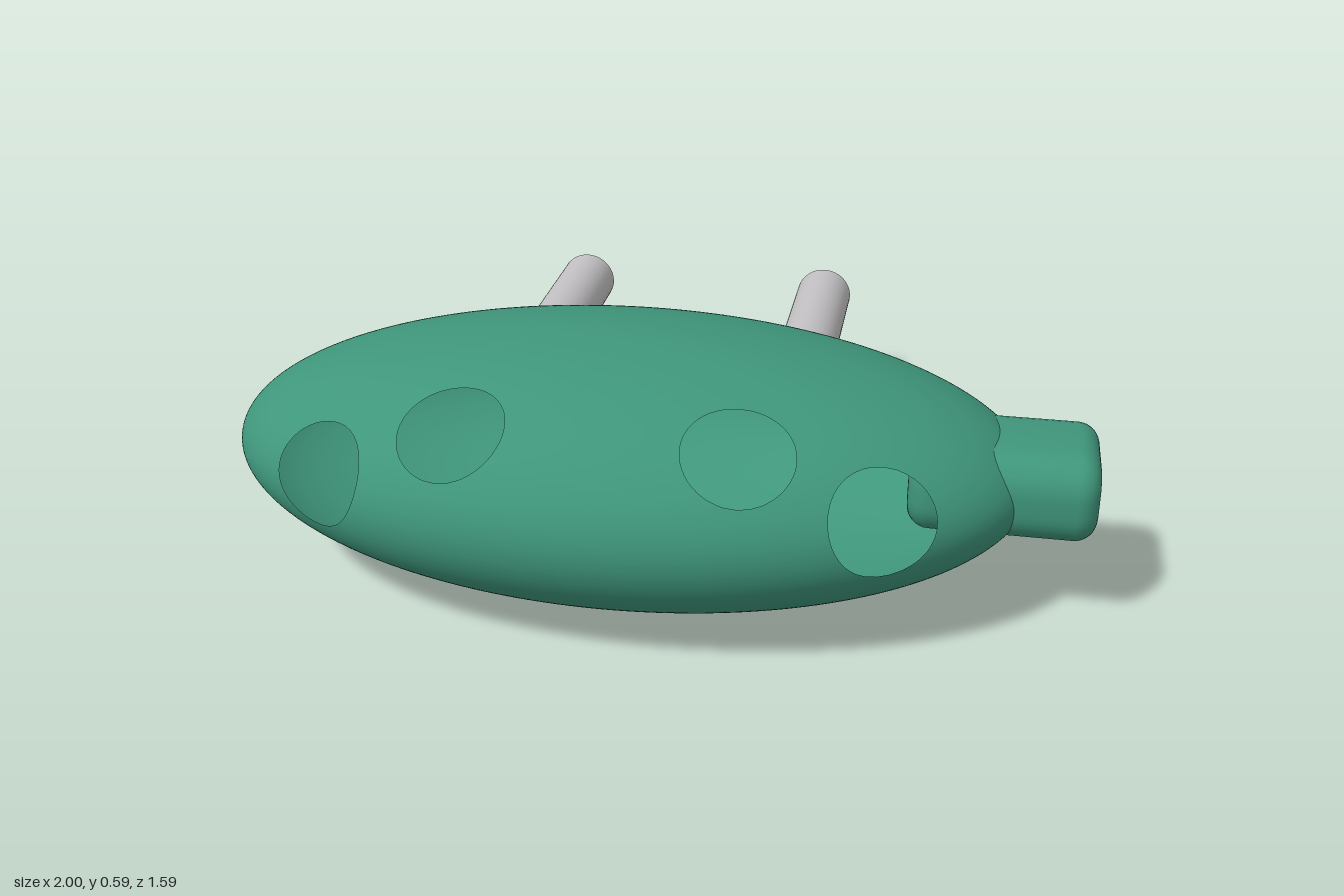
import * as THREE from 'three';
import { toCreasedNormals } from 'three/addons/utils/BufferGeometryUtils.js';

const CENTER = new THREE.Vector3(-0.07, 0.295, 0.275);
const RADII = new THREE.Vector3(0.93, 0.295, 0.515);

// Hollow ellipsoid shell, each triangle clipped against round finger holes.
function shellGeometry(holes) {
  const src = new THREE.SphereGeometry(1, 180, 90).toNonIndexed().getAttribute('position');
  const pos = [], nor = [];
  const field = (p) => Math.min(...holes.map((h) => p.distanceTo(h.center) - h.radius));
  const push = (p) => {
    const n = p.clone().sub(CENTER).divide(RADII).divide(RADII).normalize();
    pos.push(p.x, p.y, p.z);
    nor.push(n.x, n.y, n.z);
  };
  for (let i = 0; i < src.count; i += 3) {
    const tri = [0, 1, 2].map((k) =>
      new THREE.Vector3().fromBufferAttribute(src, i + k).multiply(RADII).add(CENTER));
    const f = tri.map(field);
    const poly = [];
    for (let k = 0; k < 3; k++) {
      const m = (k + 1) % 3;
      if (f[k] >= 0) poly.push(tri[k]);
      if ((f[k] >= 0) !== (f[m] >= 0)) poly.push(tri[k].clone().lerp(tri[m], f[k] / (f[k] - f[m])));
    }
    for (let k = 1; k + 1 < poly.length; k++) [poly[0], poly[k], poly[k + 1]].forEach(push);
  }
  const g = new THREE.BufferGeometry();
  g.setAttribute('position', new THREE.Float32BufferAttribute(pos, 3));
  g.setAttribute('normal', new THREE.Float32BufferAttribute(nor, 3));
  return g;
}

// Rounded rectangle cross-section in the y-z plane.
function section(x, cy, cz, halfY, halfZ, r) {
  const pts = [], steps = 8;
  const corners = [[1, 1], [-1, 1], [-1, -1], [1, -1]];
  corners.forEach(([sy, sz], c) => {
    for (let i = 0; i <= steps; i++) {
      const a = (c + i / steps) * Math.PI / 2;
      pts.push([x, cy + sy * (halfY - r) + r * Math.cos(a), cz + sz * (halfZ - r) + r * Math.sin(a)]);
    }
  });
  return pts;
}

// Skin a list of matching cross-sections.
function loft(rings) {
  const n = rings[0].length, index = [];
  for (let i = 0; i + 1 < rings.length; i++) {
    for (let j = 0; j < n; j++) {
      const a = i * n + j, b = i * n + (j + 1) % n;
      index.push(a, b, b + n, a, b + n, a + n);
    }
  }
  const g = new THREE.BufferGeometry();
  g.setAttribute('position', new THREE.Float32BufferAttribute(rings.flat(2), 3));
  g.setIndex(index);
  return toCreasedNormals(g, 0.7);
}

// Rounded block with a recessed slot in its outer end.
function endBlockGeometry() {
  const cy = 0.3125, cz = 0.275, hy = 0.1045, hz = 0.153, corner = 0.085, edge = 0.05;
  const x0 = 0.585, x1 = 1, rings = [section(x0, cy, cz, 0.001, 0.05, 0.001)];
  const rim = (x, t) => {
    const inset = edge * (1 - Math.sin(t));
    return section(x, cy, cz, hy - inset, hz - inset, corner - inset);
  };
  for (let i = 0; i <= 8; i++) {
    const t = i / 8 * Math.PI / 2;
    rings.push(rim(x0 + edge * (1 - Math.cos(t)), t));
  }
  for (let i = 8; i >= 0; i--) {
    const t = i / 8 * Math.PI / 2;
    rings.push(rim(x1 - edge * (1 - Math.cos(t)), t));
  }
  const sy = 0.335, sz = 0.277;
  rings.push(section(x1, sy, sz, 0.026, 0.09, 0.002));
  rings.push(section(x1 - 0.05, sy, sz, 0.026, 0.09, 0.002));
  rings.push(section(x1 - 0.05, sy, sz, 0.001, 0.06, 0.001));
  return loft(rings);
}

export function createModel() {
  const model = new THREE.Group();
  model.name = 'ovalHandpiece';
  const green = new THREE.MeshStandardMaterial({ color: 0x3f967b, side: THREE.DoubleSide });
  green.name = 'green';
  const grey = new THREE.MeshStandardMaterial({ color: 0xc2c0c2 });
  grey.name = 'lightGrey';

  const add = (name, geometry, material) => {
    const mesh = new THREE.Mesh(geometry, material);
    mesh.name = name;
    model.add(mesh);
    return mesh;
  };

  // Two mirrored pairs of holes, centres projected onto the shell
  const holes = [];
  for (const side of [-1, 1]) {
    for (const [dx, y, z] of [[0.31, 0.486, 0.625], [0.62, 0.362, 0.64]]) {
      const c = new THREE.Vector3(side * dx, y - CENTER.y, z - CENTER.z);
      c.divide(RADII).normalize().multiply(RADII).add(CENTER);
      holes.push({ center: c, radius: 0.122 });
    }
  }
  add('shellBody', shellGeometry(holes), green);

  add('endBlock', endBlockGeometry(), green);

  // Rear rods
  [['rightRod', -0.415], ['leftRod', 0.275]].forEach(([name, x]) => {
    const rod = add(name, new THREE.CylinderGeometry(0.075, 0.075, 0.67, 48), grey);
    rod.rotation.x = Math.PI / 2;
    rod.position.set(x, 0.295, -0.46);
  });
  return model;
}
